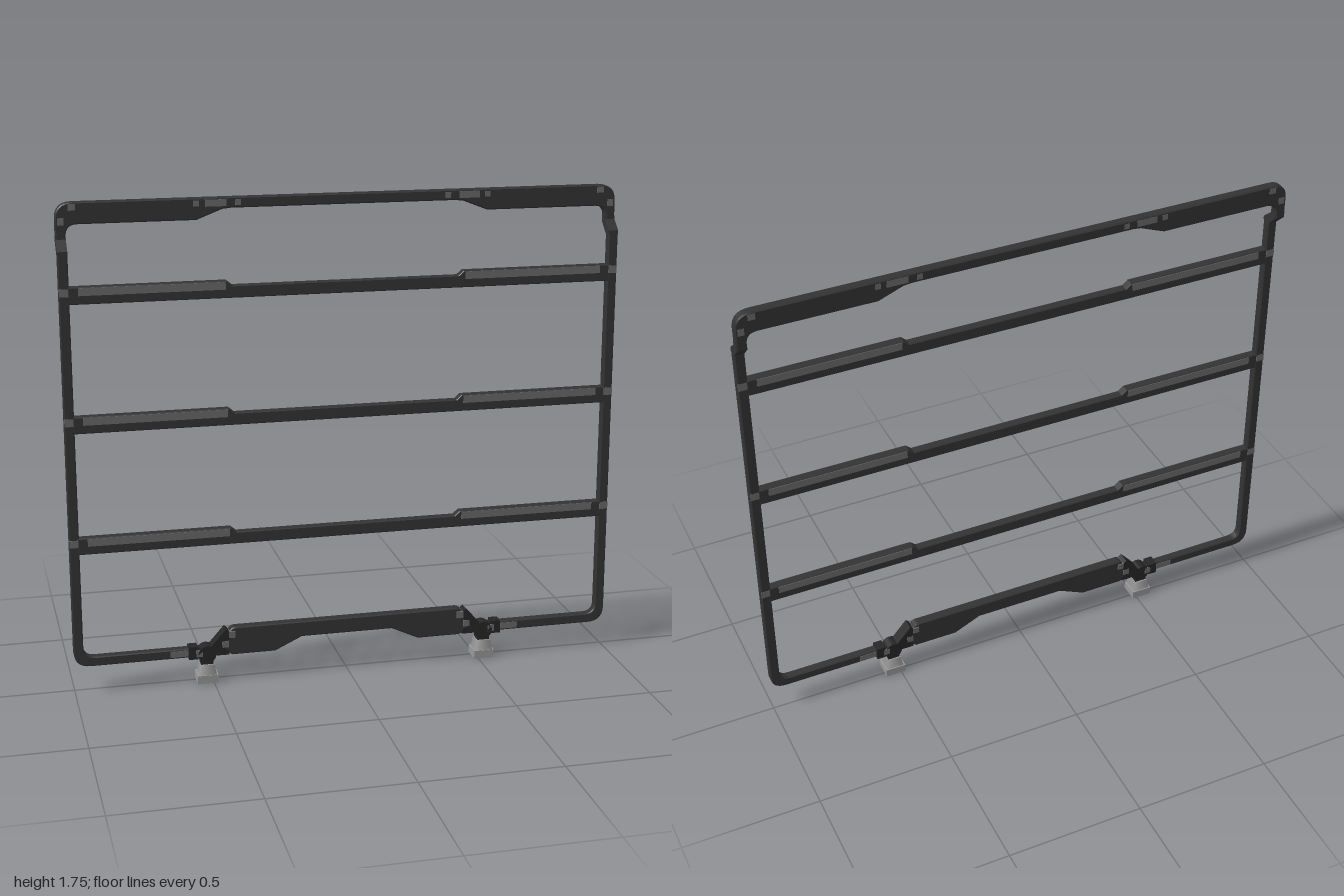
import * as THREE from 'three';

const DARK = 0x333333, JOINT = 0x262626, STRIP = 0x6a6a6a, FOOT = 0x999999;
const FRONT = [-0.005, 0.028]; // depth range of the main frame
const TOP = [-0.048, -0.013];  // depth range of the set-back top rail

export function createModel() {
  const model = new THREE.Group();
  const materials = {};
  const material = (c) => (materials[c] ??= new THREE.MeshStandardMaterial({ color: c }));

  function add(name, geometry, color = DARK) {
    const mesh = new THREE.Mesh(geometry, material(color));
    mesh.name = name;
    model.add(mesh);
    return mesh;
  }

  function box(name, x0, x1, y0, y1, [z0, z1], color) {
    const mesh = add(name, new THREE.BoxGeometry(x1 - x0, y1 - y0, z1 - z0), color);
    mesh.position.set((x0 + x1) / 2, (y0 + y1) / 2, (z0 + z1) / 2);
    return mesh;
  }

  // Front outline from points [x, y, cornerRadius], extruded with a small chamfer
  function plate(name, points, [z0, z1], color, bevel = 0.004) {
    const shape = new THREE.Shape();
    const v = points.map(([x, y]) => new THREE.Vector2(x, y));
    points.forEach(([x, y, r = 0], i) => {
      const prev = v[(i + v.length - 1) % v.length], next = v[(i + 1) % v.length];
      const a = prev.clone().sub(v[i]).setLength(r).add(v[i]);
      const b = next.clone().sub(v[i]).setLength(r).add(v[i]);
      if (i === 0) shape.moveTo(a.x, a.y); else shape.lineTo(a.x, a.y);
      if (r) shape.quadraticCurveTo(x, y, b.x, b.y);
    });
    shape.closePath();
    const geometry = new THREE.ExtrudeGeometry(shape, {
      depth: z1 - z0 - 2 * bevel, bevelEnabled: true, bevelSize: bevel,
      bevelThickness: bevel, bevelOffset: -bevel, bevelSegments: 1, curveSegments: 8,
    });
    geometry.translate(0, 0, z0 + bevel);
    return add(name, geometry, color);
  }

  // Mirror the x > 0 half of an outline onto x < 0
  const mirrored = (half) => [...half, ...half.map(([x, y, r]) => [-x, y, r]).reverse()];

  // Top rail: deep ends tapering to a slim middle, with short legs
  plate('topRail', mirrored([
    [0.4, 1.715], [0.43, 1.712], [0.52, 1.677], [0.965, 1.677, 0.04],
    [0.965, 1.615], [1, 1.615], [1, 1.752, 0.06],
  ]), TOP, DARK);

  // Crossbars: raised at both ends
  for (const y of [1.41, 0.957, 0.518]) {
    plate('crossbar', mirrored([
      [0.97, y], [0.97, y + 0.06], [0.425, y + 0.06], [0.405, y + 0.043],
    ]), FRONT, DARK, 0.003);
  }

  // Central plate of the bottom rail
  plate('bottomPlate', mirrored([
    [0.17, 0.142], [0.27, 0.095], [0.43, 0.095], [0.475, 0.135], [0.43, 0.2, 0.015],
  ]), [-0.007, 0.03], DARK);

  for (const s of [-1, 1]) {
    const side = (name, x0, x1, ...rest) =>
      box(name, Math.min(s * x0, s * x1), Math.max(s * x0, s * x1), ...rest);

    // Side post curving into the bottom rail
    const post = [
      [0.57, 0.097], [1, 0.097, 0.06], [1, 1.585], [0.965, 1.585],
      [0.965, 0.132, 0.04], [0.57, 0.132],
    ].map(([x, y, r]) => [s * x, y, r]);
    plate('sidePost', s > 0 ? post : post.reverse(), FRONT, DARK);

    // Slanted step from the post back to the top rail
    const profile = new THREE.Shape([
      [-0.028, 1.578], [0.005, 1.578], [0.046, 1.618], [0.046, 1.64],
      [0.014, 1.64], [0.014, 1.628], [-0.028, 1.592],
    ].map(([x, y]) => new THREE.Vector2(x, y)));
    const step = new THREE.ExtrudeGeometry(profile, { depth: 0.035, bevelEnabled: false });
    step.rotateY(Math.PI / 2).translate(s * 0.9825 - 0.0175, 0, 0);
    add('postStep', step);

    // Inlaid strips and end caps of the crossbars
    for (const y of [1.41, 0.957, 0.518]) {
      side('crossbarStrip', 0.43, 0.935, y + 0.03, y + 0.057, [-0.007, 0.03], STRIP);
      side('crossbarCap', 0.968, 0.999, y + 0.028, y + 0.055, [-0.006, 0.03], STRIP);
    }

    // Small fittings on the top rail
    side('topRailClip', 0.415, 0.49, 1.722, 1.746, [-0.049, -0.011], STRIP);
    side('topRailPin', 0.365, 0.385, 1.724, 1.744, [-0.049, -0.012], STRIP);
    side('topRailPin', 0.51, 0.53, 1.724, 1.744, [-0.049, -0.012], STRIP);
    side('cornerPin', 0.93, 0.955, 1.724, 1.746, [-0.049, -0.012], STRIP);
    side('cornerPin', 0.97, 0.992, 1.675, 1.7, [-0.049, -0.012], STRIP);

    // Hinge joining the bottom rail, plate and foot
    side('railClip', 0.59, 0.655, 0.103, 0.126, [-0.007, 0.03], STRIP);
    side('hingeSleeve', 0.555, 0.588, 0.09, 0.138, [-0.01, 0.033], JOINT);
    side('hingeBridge', 0.44, 0.57, 0.096, 0.13, [-0.004, 0.028], JOINT);
    const arm = side('hingeArm', 0.42, 0.535, 0.125, 0.16, [-0.01, 0.036], JOINT);
    arm.rotation.z = -s * 0.85;
    const hub = add('hingeHub', new THREE.CylinderGeometry(0.033, 0.033, 0.048, 16), JOINT);
    hub.rotation.x = Math.PI / 2;
    hub.position.set(s * 0.522, 0.106, 0.014);
    for (const [x, y] of [[0.43, 0.175], [0.455, 0.14], [0.55, 0.112]]) {
      side('hingePin', x - 0.012, x + 0.012, y - 0.012, y + 0.012, [-0.011, 0.038], STRIP);
    }

    // Foot: neck, block and wider sole
    side('footNeck', 0.5, 0.545, 0.06, 0.1, [-0.007, 0.034], JOINT);
    const block = add('footBlock', new THREE.CylinderGeometry(0.036, 0.046, 0.04, 4, 1), FOOT);
    block.geometry.rotateY(Math.PI / 4);
    block.position.set(s * 0.522, 0.048, 0.014);
    side('footSole', 0.484, 0.56, 0, 0.03, [-0.022, 0.049], FOOT);
  }
  return model;
}
